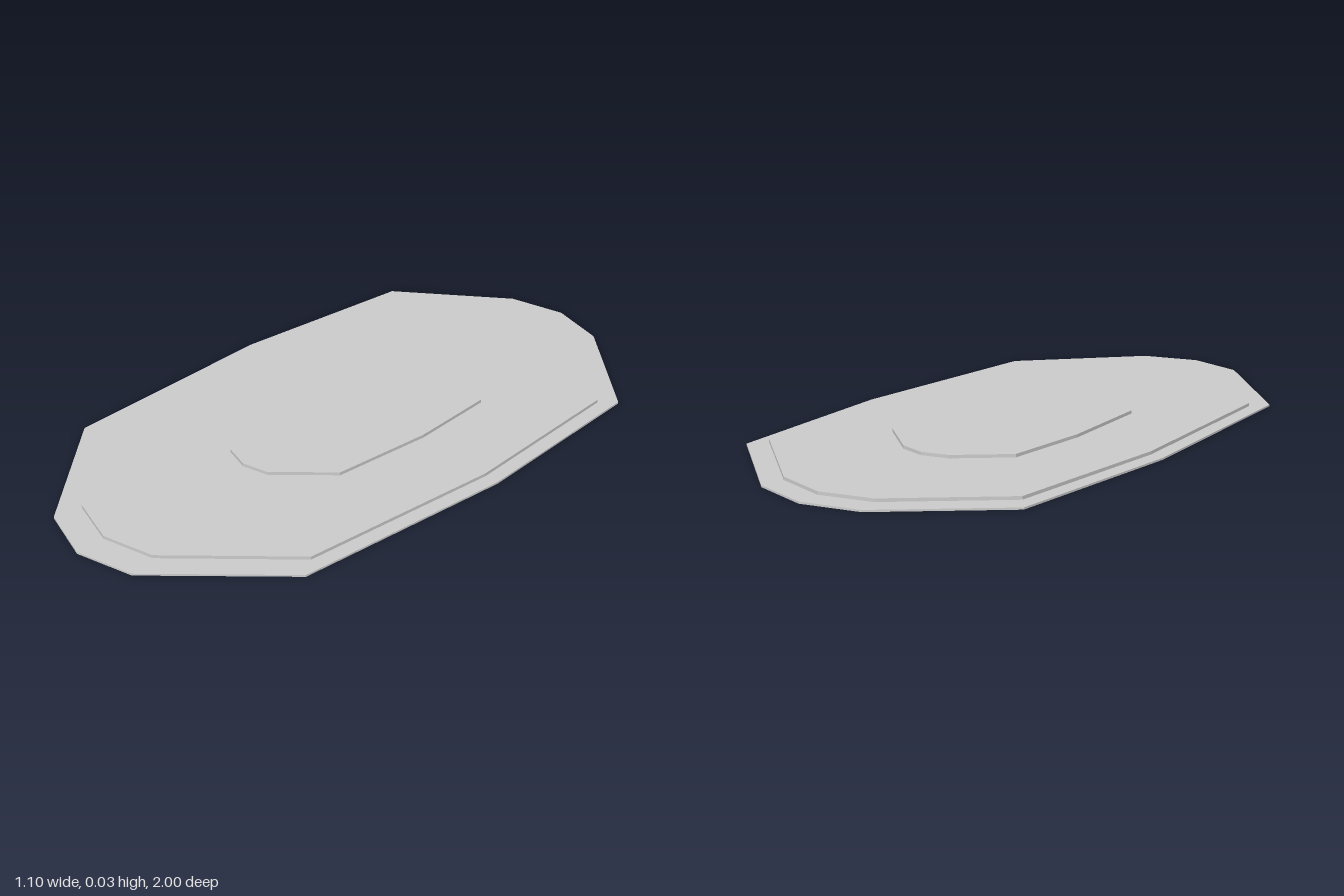
import * as THREE from 'three';

const material = new THREE.MeshStandardMaterial({ color: 0xcccccc, flatShading: true });

// Flat slab from a half outline of [x, z] points, mirrored across x = 0
function slab(name, half, bottom, top, shiftX = 0) {
  const mirrored = half.slice(1, -1).reverse().map(([x, z]) => [-x, z]);
  const points = [...half, ...mirrored].map(([x, z]) => new THREE.Vector2(x + shiftX, -z));
  const geometry = new THREE.ExtrudeGeometry(new THREE.Shape(points), {
    depth: top - bottom,
    bevelEnabled: false,
  });
  geometry.rotateX(-Math.PI / 2);
  geometry.translate(0, bottom, 0);
  const mesh = new THREE.Mesh(geometry, material);
  mesh.name = name;
  return mesh;
}

export function createModel() {
  const group = new THREE.Group();
  group.name = 'steppedPlate';

  // Thin wide base
  group.add(slab('basePlate', [
    [0, -1], [0.18, -0.955], [0.503, -0.69], [0.55, -0.09],
    [0.503, 0.612], [0.18, 0.95], [0, 1],
  ], 0, 0.006));

  // Slightly smaller middle layer
  group.add(slab('middlePlate', [
    [0, -0.928], [0.163, -0.886], [0.461, -0.64], [0.505, -0.085],
    [0.461, 0.556], [0.163, 0.866], [0, 0.91],
  ], 0.006, 0.016));

  // Small raised centre, a touch off the middle
  group.add(slab('centrePlate', [
    [0, -0.506], [0.083, -0.485], [0.229, -0.364], [0.25, -0.09],
    [0.229, 0.23], [0.083, 0.383], [0, 0.405],
  ], 0.016, 0.026, -0.004));

  return group;
}
